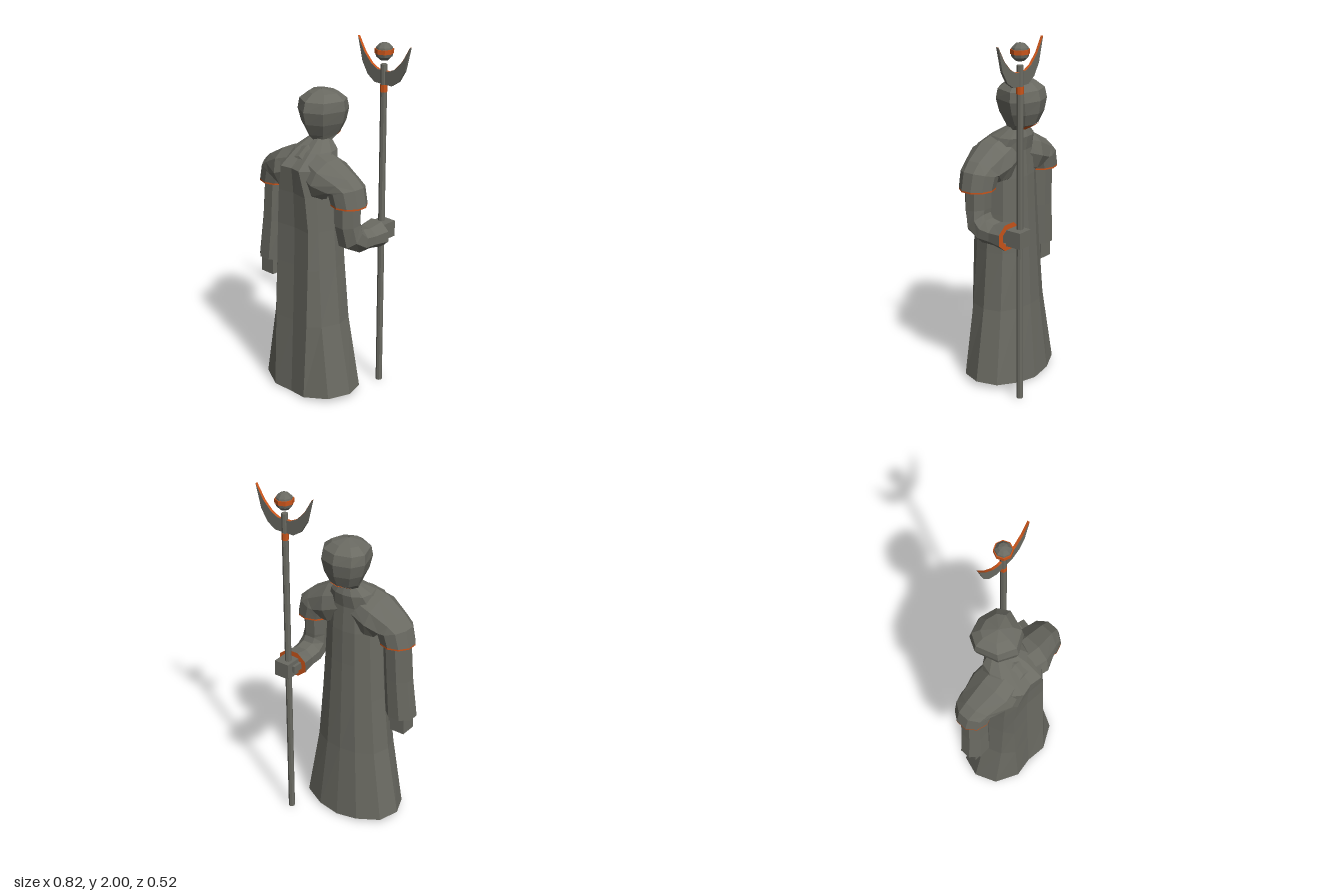
import * as THREE from 'three';

export function createModel() {
  const cloth = new THREE.MeshStandardMaterial({ color: 0x6a6a62, flatShading: true, side: THREE.DoubleSide });
  cloth.name = 'warm grey';
  const trim = new THREE.MeshStandardMaterial({ color: 0xc9541a, flatShading: true, side: THREE.DoubleSide });
  trim.name = 'orange';

  const model = new THREE.Group();
  model.name = 'robedFigure';
  const figure = new THREE.Group(); // mirrored about its own centre line
  figure.name = 'figure';
  figure.position.x = -0.03;
  model.add(figure);

  const add = (parent, name, geo, mat, x = 0, y = 0, z = 0) => {
    const mesh = new THREE.Mesh(geo, mat);
    mesh.name = name;
    mesh.position.set(x, y, z);
    parent.add(mesh);
    return mesh;
  };

  // Skin a list of rings, bottom to top; keep selects which columns are built
  const loft = (rings, keep = () => true) => {
    const n = rings[0].length, index = [];
    for (let r = 0; r < rings.length - 1; r++) {
      for (let i = 0; i < n; i++) {
        if (!keep(i)) continue;
        const a = r * n + i, b = r * n + (i + 1) % n;
        index.push(a, a + n, b, b, a + n, b + n);
      }
    }
    const geo = new THREE.BufferGeometry().setFromPoints(rings.flat());
    geo.setIndex(index);
    geo.computeVertexNormals();
    return geo;
  };

  // Elliptical ring round c, facing along d, with u as its first axis
  const ring = (c, d, u, ru, rv, n = 8) => {
    const U = new THREE.Vector3(...u), V = U.clone().cross(new THREE.Vector3(...d)).normalize();
    return Array.from({ length: n }, (_, i) => {
      const a = (i + 0.5) / n * Math.PI * 2;
      return new THREE.Vector3(...c).addScaledVector(U, Math.cos(a) * ru).addScaledVector(V, Math.sin(a) * rv);
    });
  };
  // Flat rim facing out of the open end of a sleeve
  const rim = (outer, k) => {
    const c = outer.reduce((s, p) => s.add(p), new THREE.Vector3()).divideScalar(outer.length);
    return loft([outer.map(p => p.clone().lerp(c, k)), outer]);
  };

  // Robe: y, half width, front z, back z, half width of the front panel
  const robe = [
    [0.005, 0.295, 0.256, -0.118, 0.115], [0.45, 0.22, 0.235, -0.085, 0.12], [0.78, 0.19, 0.222, -0.073, 0.12],
    [1.0, 0.175, 0.215, -0.065, 0.118], [1.2, 0.165, 0.222, -0.06, 0.1], [1.345, 0.15, 0.235, -0.05, 0.068],
    [1.42, 0.12, 0.14, -0.06, 0.055], [1.475, 0.06, 0.05, -0.04, 0.03],
  ].map(([y, w, f, b, p], r) => {
    const m = (f + b) / 2, h = (f - b) / 2;
    const half = [[w, 0], [w * 0.83, 0.65], [p, 1], [0, 0.91]];
    const back = [[0, -1], [w * 0.44, -0.93], [w * 0.87, -0.62]];
    const flip = list => list.map(([x, z]) => [-x, z]);
    return [...half, ...flip(half.slice(0, 3).reverse()), ...flip(back.slice(1).reverse()), ...back]
      .map(([x, z]) => new THREE.Vector3(x, y + (r === 0 ? 0.03 * Math.abs(x) / w : 0), m + h * z));
  });
  add(figure, 'robe', loft(robe), cloth);

  // Shoulder capes: x, y, z, heading angle, radius in the front plane, radius in depth
  const capeRings = [
    [-0.275, 1.178, 0.065, 90, 0.1, 0.099], [-0.255, 1.25, 0.065, 75, 0.102, 0.104],
    [-0.222, 1.25, 0.07, 45, 0.11, 0.112], [-0.14, 1.28, 0.08, 14, 0.125, 0.14], [0, 1.33, 0.075, 0, 0.12, 0.115],
  ].map(([x, y, z, t, ru, rv]) => {
    const a = t * Math.PI / 180;
    return ring([x, y, z], [Math.cos(a), Math.sin(a), 0], [Math.sin(a), -Math.cos(a), 0], ru, rv, 10);
  });
  for (const s of [1, -1]) {
    const cape = new THREE.Group();
    cape.name = s > 0 ? 'rightShoulderCape' : 'leftShoulderCape';
    cape.scale.x = s;
    figure.add(cape);
    add(cape, 'cape', loft(capeRings), cloth);
    const lower = capeRings[0].map(p => p.clone().add(new THREE.Vector3(0, -0.009, 0)));
    add(cape, 'capeEdge', loft([lower, capeRings[0]]), trim);
    add(cape, 'capeLining', rim(lower, 0.35), trim);
  }

  // Hood: y, half width, pointed side z, face side z
  const hoodRing = ([y, w, f, b]) => Array.from({ length: 8 }, (_, i) => {
    const a = i / 8 * Math.PI * 2, s = Math.sin(a), c = (f + b) / 2 - (f - b) * 0.14;
    return new THREE.Vector3(Math.cos(a) * w, y, c + s * (s > 0 ? f - c : c - b));
  });
  const hood = [
    [1.42, 0.075, 0.07, -0.035], [1.46, 0.066, 0.055, -0.045], [1.495, 0.085, 0.08, -0.108],
    [1.56, 0.118, 0.115, -0.136], [1.63, 0.136, 0.133, -0.147], [1.685, 0.13, 0.118, -0.132],
    [1.72, 0.085, 0.065, -0.09], [1.738, 0.004, 0, -0.008],
  ];
  add(figure, 'hood', loft(hood.map(hoodRing)), cloth);
  const chin = [[1.459, 0.067, 0.055, -0.05], [1.493, 0.086, 0.08, -0.112]];
  add(figure, 'chinTrim', loft(chin.map(hoodRing), i => i === 5 || i === 6), trim);

  // Sleeves: centre, heading, radii, listed from cuff to shoulder
  const sleeve = (name, rows) => {
    const rings = rows.map(([c, d, ru, rv]) => ring(c, d, [1, 0, 0], ru, rv));
    add(model, name, loft(rings), cloth);
    add(model, name + 'Lining', rim(rings[0], 0.4), trim);
  };
  sleeve('rightSleeve', [
    [[-0.325, 0.712, 0.085], [0, 1, 0], 0.09, 0.08],
    [[-0.31, 0.95, 0.075], [0, 1, 0], 0.082, 0.075],
    [[-0.3, 1.24, 0.065], [0, 1, 0], 0.078, 0.075],
  ]);
  sleeve('leftSleeve', [
    [[0.245, 0.947, -0.152], [0, 0, 1], 0.096, 0.078],
    [[0.245, 0.945, -0.07], [0, 0, 1], 0.081, 0.062],
    [[0.245, 0.95, 0.0], [0, 0.2, 1], 0.081, 0.07],
    [[0.242, 0.99, 0.055], [0, 1, 1], 0.079, 0.082],
    [[0.237, 1.06, 0.067], [0, 1, 0.1], 0.075, 0.073],
    [[0.235, 1.24, 0.065], [0, 1, 0], 0.075, 0.075],
  ]);

  // Hands
  add(model, 'rightHand', new THREE.BoxGeometry(0.09, 0.11, 0.095), cloth, -0.33, 0.67, 0.085);
  add(model, 'rightThumb', new THREE.BoxGeometry(0.03, 0.07, 0.035), cloth, -0.285, 0.7, 0.06);
  add(model, 'leftHand', new THREE.BoxGeometry(0.092, 0.09, 0.092), cloth, 0.24, 0.952, -0.21);
  add(model, 'leftThumb', new THREE.BoxGeometry(0.03, 0.04, 0.06), cloth, 0.193, 0.955, -0.19);
  add(model, 'leftWrist', new THREE.BoxGeometry(0.07, 0.065, 0.06), cloth, 0.24, 0.95, -0.145);

  // Staff with collar and banded orb
  const staff = new THREE.Group();
  staff.name = 'staff';
  staff.position.set(0.228, 0, -0.21);
  model.add(staff);
  add(staff, 'shaft', new THREE.CylinderGeometry(0.018, 0.018, 1.87, 8), cloth, 0, 0.945, 0);
  add(staff, 'collar', new THREE.CylinderGeometry(0.0195, 0.0195, 0.04, 8), trim, 0, 1.75, 0);
  add(staff, 'orb', new THREE.SphereGeometry(0.05, 8, 6), cloth, 0, 1.948, 0);
  add(staff, 'orbBand', new THREE.CylinderGeometry(0.0515, 0.0515, 0.024, 8), trim, 0, 1.952, 0);

  // Crescent blade with an orange inner edge
  const right = list => list.slice().reverse().map(([x, y]) => [-x, y]);
  const outerHalf = [[-0.183, 2.0], [-0.15, 1.87], [-0.11, 1.805], [-0.06, 1.772]];
  const innerHalf = [[-0.183, 2.0], [-0.135, 1.92], [-0.085, 1.868], [-0.04, 1.845]];
  const outer = [...outerHalf, ...right(outerHalf)], inner = [...innerHalf, ...right(innerHalf)];
  const outline = [...outer, ...inner.slice(1, -1).reverse()].map(p => new THREE.Vector2(...p));
  const blade = new THREE.ExtrudeGeometry(new THREE.Shape(outline), { depth: 0.014, bevelEnabled: false });
  add(staff, 'crescentBlade', blade, cloth, 0, 0, -0.007);
  const edge = [0.0075, -0.0075].map(z => inner.map(([x, y]) => new THREE.Vector3(x, y + 0.002, z)));
  add(staff, 'crescentEdge', loft(edge, i => i < inner.length - 1), trim);

  return model;
}
